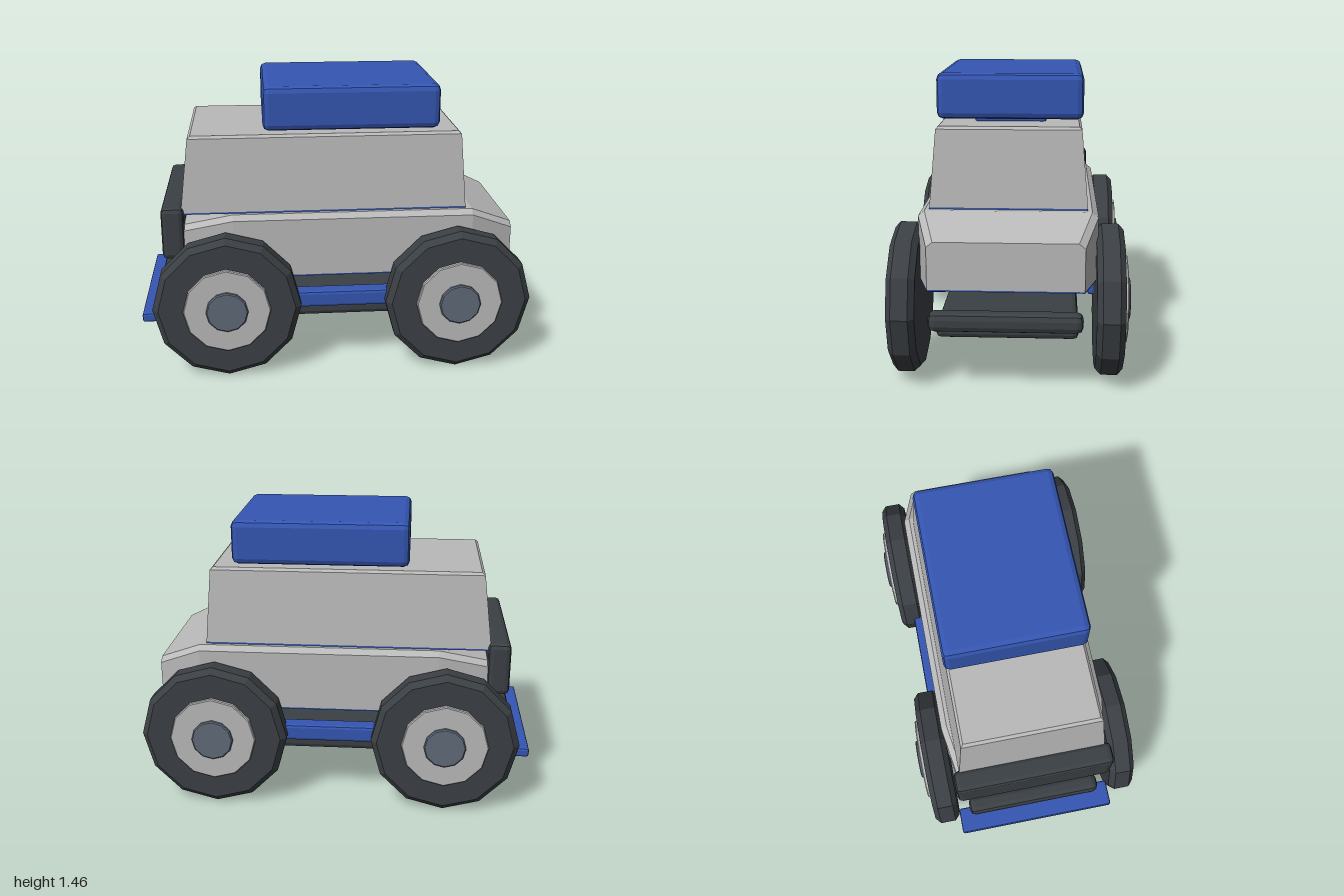
import * as THREE from 'three';
import { RoundedBoxGeometry } from 'three/addons/geometries/RoundedBoxGeometry.js';

// Joins rings of [x, y, z] points, running counter-clockwise about the loft axis.
function loft(rings) {
  const pos = [];
  const tri = (a, b, c) => pos.push(...a, ...b, ...c);
  const n = rings[0].length;
  for (let r = 0; r < rings.length - 1; r++) {
    const a = rings[r], b = rings[r + 1];
    for (let i = 0; i < n; i++) {
      const j = (i + 1) % n;
      tri(a[i], a[j], b[j]);
      tri(a[i], b[j], b[i]);
    }
  }
  const first = rings[0], last = rings[rings.length - 1];
  for (let i = 1; i < n - 1; i++) {
    tri(first[0], first[i + 1], first[i]);
    tri(last[0], last[i], last[i + 1]);
  }
  const g = new THREE.BufferGeometry();
  g.setAttribute('position', new THREE.Float32BufferAttribute(pos, 3));
  g.computeVertexNormals();
  return g;
}

// Horizontal ring, mirrored in z, from [x, halfWidth] pairs running rear to front.
const outline = (half, y) => [
  ...half.map(([x, w]) => [x, y, w]),
  ...half.slice().reverse().map(([x, w]) => [x, y, -w]),
];

export function createModel() {
  const model = new THREE.Group();
  const mat = (name, color, flatShading = false) => {
    const m = new THREE.MeshStandardMaterial({ color, flatShading });
    m.name = name;
    return m;
  };
  const grey = mat('light grey', 0xb9b9b9, true);
  const blue = mat('blue', 0x3556b2, true);
  const dark = mat('charcoal', 0x3b4044, true);
  const slate = mat('slate', 0x5f6977, true);

  const add = (name, geometry, material, parent = model) => {
    const m = new THREE.Mesh(geometry, material);
    m.name = name;
    parent.add(m);
    return m;
  };
  // Bevelled box given by its limits on each axis
  const box = (name, material, [x0, x1], [y0, y1], [z0, z1], bevel) => {
    const g = new RoundedBoxGeometry(x1 - x0, y1 - y0, z1 - z0, 1, bevel);
    g.translate((x0 + x1) / 2, (y0 + y1) / 2, (z0 + z1) / 2);
    return add(name, g, material);
  };

  // Lower body: stations of [x, half width, top height]
  const stations = [[-0.78, 0.39, 0.77], [-0.52, 0.43, 0.83], [0.7, 0.43, 0.83], [0.92, 0.365, 0.735]];
  add('lowerBody', loft(stations.map(([x, w, top]) => {
    const t = w - 0.03, s = top - 0.025;
    return [[x, top, -t], [x, top, t], [x, s, w], [x, 0.507, w], [x, 0.507, -w], [x, s, -w]];
  })), grey);
  const bodyHalf = stations.map(([x, w]) => [x, w]);
  add('bodyFloor', loft([outline(bodyHalf, 0.5), outline(bodyHalf, 0.507)]), blue);

  // Cabin with sloping sides and a thin trim below
  const cabinBase = [[-0.78, 0.38], [0.67, 0.38]];
  add('cabin', loft([
    outline(cabinBase, 0.838),
    outline([[-0.735, 0.348], [0.642, 0.348]], 1.212),
    outline([[-0.72, 0.335], [0.628, 0.335]], 1.225),
  ]), grey);
  add('cabinTrim', loft([outline(cabinBase, 0.83), outline(cabinBase, 0.838)]), blue);

  // Roof cargo
  box('roofMount', blue, [-0.17, 0.45], [1.215, 1.255], [-0.175, 0.175], 0.015);
  box('roofBox', blue, [-0.36, 0.53], [1.243, 1.465], [-0.357, 0.357], 0.03);

  // Underside, bumpers and rear fittings
  box('chassis', dark, [-0.81, 0.82], [0.23, 0.307], [-0.34, 0.34], 0.025);
  box('frontBumper', dark, [0.88, 0.975], [0.315, 0.407], [-0.36, 0.36], 0.03);
  box('rearBumper', dark, [-0.92, -0.825], [0.315, 0.407], [-0.36, 0.36], 0.03);
  box('rearStep', blue, [-1, -0.865], [0.262, 0.31], [-0.42, 0.42], 0.012);
  box('rearCase', dark, [-0.88, -0.765], [0.6, 0.872], [-0.41, 0.41], 0.025);
  for (const s of [1, -1]) {
    box('sideStep', blue, [-0.42, 0.48], [0.343, 0.428], s > 0 ? [0.39, 0.48] : [-0.48, -0.39], 0.015);
  }

  // Wheels: bevelled twelve-sided tyre, hub disc and cap
  const disc = (pts) => new THREE.LatheGeometry(pts.map(([r, y]) => new THREE.Vector2(r, y)), 12).rotateX(Math.PI / 2);
  const tyre = disc([[0, -0.067], [0.345, -0.067], [0.375, -0.04], [0.375, 0.04], [0.345, 0.067], [0, 0.067]]);
  const hub = disc([[0, 0.06], [0.22, 0.06], [0.22, 0.083], [0.215, 0.088], [0, 0.088]]);
  const cap = disc([[0, 0.08], [0.106, 0.08], [0.106, 0.1], [0.1, 0.105], [0, 0.105]]);
  for (const x of [-0.56, 0.62]) {
    for (const s of [1, -1]) {
      const wheel = new THREE.Group();
      wheel.name = (x > 0 ? 'front' : 'rear') + 'Wheel';
      add('tyre', tyre, dark, wheel);
      add('hub', hub, grey, wheel);
      add('hubCap', cap, slate, wheel);
      wheel.position.set(x, 0.38, s * 0.487);
      if (s < 0) wheel.rotation.y = Math.PI;
      model.add(wheel);
    }
  }
  model.position.y = -0.005;
  return model;
}
